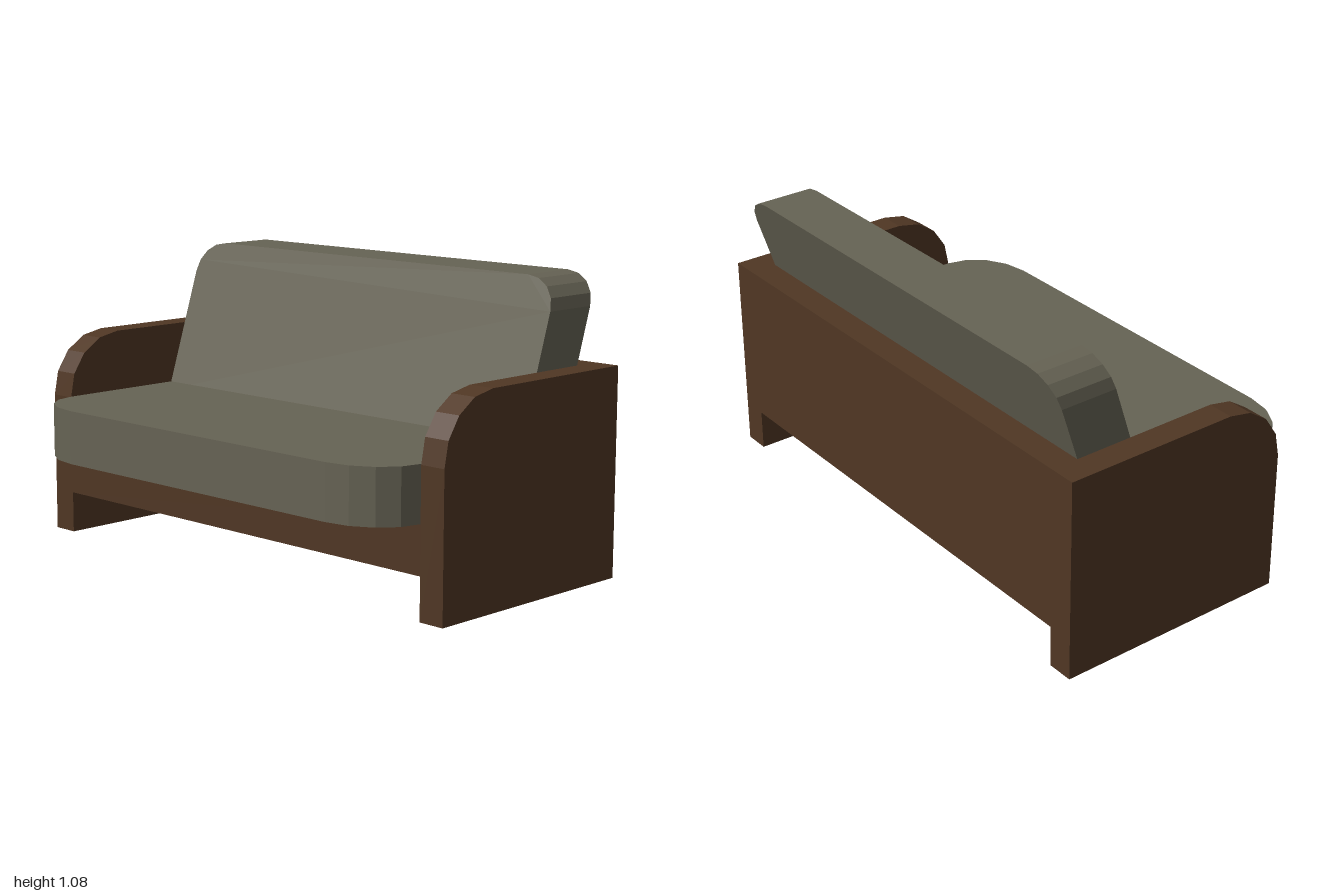
import * as THREE from 'three';

export function createModel() {
  const sofa = new THREE.Group();
  sofa.name = 'sofa';

  const wood = new THREE.MeshStandardMaterial({ color: 0x503724 });
  wood.name = 'dark brown wood';
  const fabric = new THREE.MeshStandardMaterial({ color: 0x666354 });
  fabric.name = 'grey olive fabric';

  const add = (name, geometry, material) => {
    const mesh = new THREE.Mesh(geometry, material);
    mesh.name = name;
    sofa.add(mesh);
    return mesh;
  };

  const extrude = (points, depth) => new THREE.ExtrudeGeometry(
    new THREE.Shape(points.map(([x, y]) => new THREE.Vector2(x, y))),
    { depth, bevelEnabled: false });

  // Box given by its minimum and maximum corners
  const block = (name, [x0, y0, z0], [x1, y1, z1]) => {
    const geometry = new THREE.BoxGeometry(x1 - x0, y1 - y0, z1 - z0);
    geometry.translate((x0 + x1) / 2, (y0 + y1) / 2, (z0 + z1) / 2);
    return add(name, geometry, wood);
  };

  // Faceted quarter-round from a vertical side to a horizontal edge
  const corner = (x, y, rx, ry, steps = 4) => Array.from({ length: steps + 1 }, (_, i) => {
    const a = (i / steps) * Math.PI / 2;
    return [x - rx + rx * Math.cos(a), y - ry + ry * Math.sin(a)];
  });
  const mirrored = (points) => points.map(([x, y]) => [-x, y]).reverse();

  // Arms: side profile in (z, y), extruded across x
  for (const [name, x] of [['leftArm', 0.9], ['rightArm', -1]]) {
    const profile = [[-0.555, 0], [0.355, 0], ...corner(0.355, 0.762, 0.235, 0.235), [-0.555, 0.762]];
    const geometry = extrude(profile, 0.1);
    geometry.rotateY(-Math.PI / 2); // profile x -> z, depth -> -x
    geometry.translate(x + 0.1, 0, 0);
    add(name, geometry, wood);
  }

  // Frame between the arms
  block('baseFrame', [-0.9, 0.155, -0.555], [0.9, 0.33, 0.355]);
  block('backPanel', [-0.9, 0.33, -0.555], [0.9, 0.762, -0.4]);

  // Seat cushion: plan outline with rounded front corners
  const front = corner(0.9, 0.553, 0.24, 0.2);
  const seat = extrude([[-0.9, -0.4], [0.9, -0.4], ...front, ...mirrored(front)], 0.2);
  seat.rotateX(Math.PI / 2); // outline y -> z, depth -> -y
  seat.translate(0, 0.53, 0);
  add('seatCushion', seat, fabric);

  // Back cushion: rounded top corners, sheared backwards with height
  const top = corner(0.9, 1.08, 0.13, 0.115);
  const back = extrude([[-0.9, 0.5], [0.9, 0.5], ...top, ...mirrored(top)], 0.222);
  const p = back.attributes.position;
  for (let i = 0; i < p.count; i++) {
    p.setZ(i, p.getZ(i) - 0.377 - 0.325 * (p.getY(i) - 0.53));
  }
  back.computeVertexNormals();
  add('backCushion', back, fabric);

  return sofa;
}
